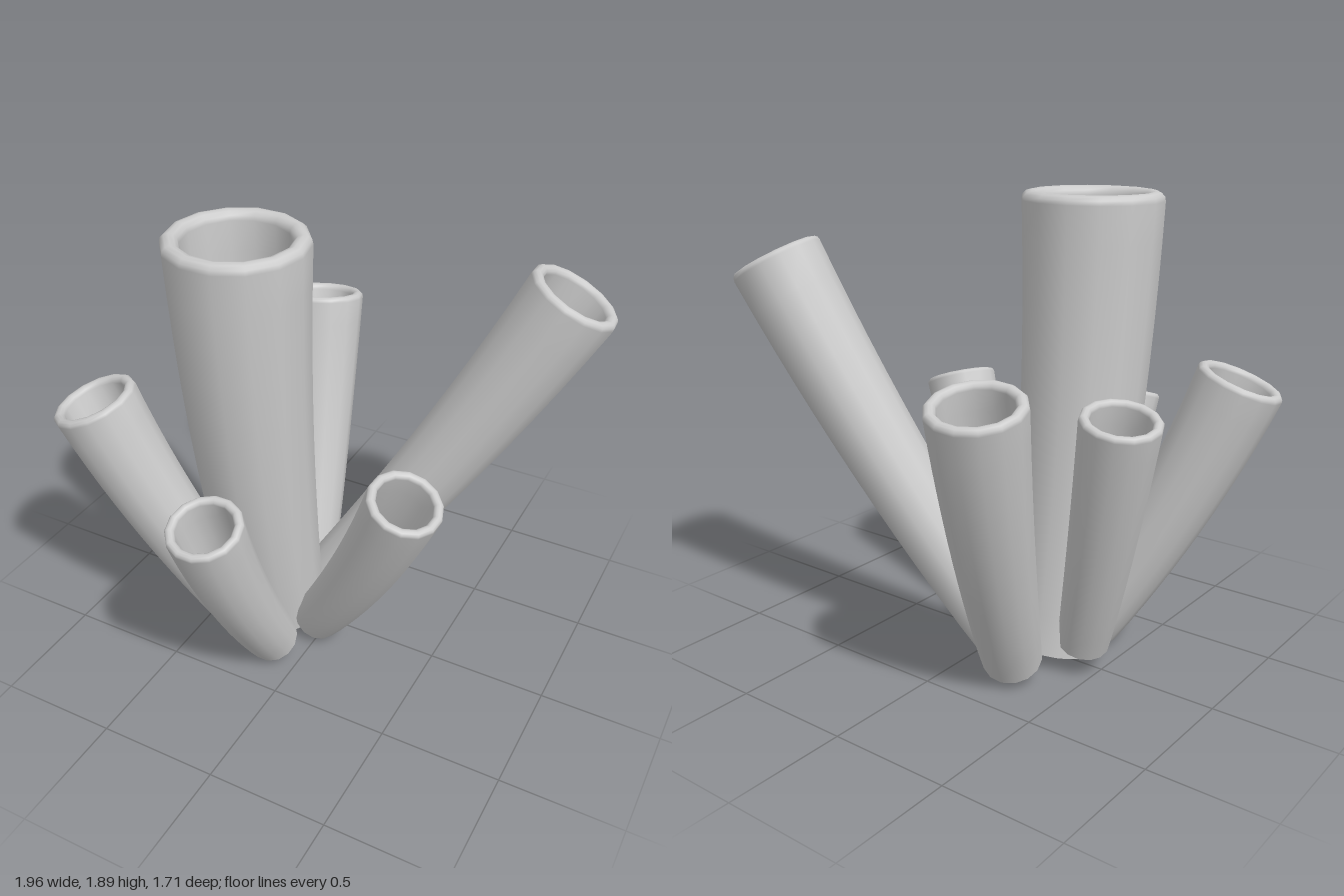
import * as THREE from 'three';

const SIDES = 14;

// Hollow tube swept along a gently bending path: outer wall, rounded rim, inner wall
function hollowTube(base, top, r0, r1, bulge) {
  const a = new THREE.Vector3(...base), b = new THREE.Vector3(...top);
  const out = b.clone().sub(a).setY(0).normalize().multiplyScalar(bulge);
  const curve = new THREE.QuadraticBezierCurve3(a, a.clone().lerp(b, 0.5).add(out), b);
  const length = curve.getLength(), steps = 40;
  const frames = curve.computeFrenetFrames(steps);
  const half = r1 * 0.13;                 // half the wall thickness
  const tRim = 1 - half / length;

  // Each station: position along the path, ring radius
  const stations = [];
  for (let i = 0; i <= 12; i++) {
    const t = tRim * i / 12;
    stations.push([t, r0 + (r1 - r0) * Math.pow(t, 0.85)]);
  }
  for (let i = 1; i <= 6; i++) {
    const q = Math.PI * i / 6;
    stations.push([tRim + half * Math.sin(q) / length, r1 - half + half * Math.cos(q)]);
  }
  for (let i = 1; i <= 4; i++) {
    stations.push([tRim - 0.07 * i, (r1 - 2 * half) * (1 - 0.02 * i)]);
  }

  const positions = [], index = [];
  stations.forEach(([t, r], i) => {
    const c = curve.getPointAt(Math.min(t, 1));
    const k = Math.min(steps, Math.round(t * steps));
    const n = frames.normals[k], bn = frames.binormals[k];
    for (let j = 0; j < SIDES; j++) {
      const ang = j / SIDES * Math.PI * 2;
      const p = c.clone().addScaledVector(n, r * Math.cos(ang)).addScaledVector(bn, r * Math.sin(ang));
      positions.push(p.x, p.y, p.z);
      if (i < stations.length - 1) {
        const s = i * SIDES, j2 = (j + 1) % SIDES;
        index.push(s + j, s + j2, s + SIDES + j2, s + j, s + SIDES + j2, s + SIDES + j);
      }
    }
  });
  const geo = new THREE.BufferGeometry();
  geo.setAttribute('position', new THREE.Float32BufferAttribute(positions, 3));
  geo.setIndex(index);
  geo.computeVertexNormals();
  return geo;
}

export function createModel() {
  const group = new THREE.Group();
  group.name = 'tubeCluster';
  const material = new THREE.MeshStandardMaterial({ color: 0xcccccc, side: THREE.DoubleSide });

  // name, base centre, top centre, base radius, top radius, outward bend
  const tubes = [
    ['mainTube', [-0.25, 0.03, 0.03], [-0.28, 1.88, 0.2], 0.205, 0.28, 0.08],
    ['longLeftTube', [-0.12, 0.065, -0.13], [0.81, 1.61, -0.455], 0.125, 0.193, 0.08],
    ['frontLeftTube', [-0.02, 0.07, 0.08], [0.475, 1.02, 0.305], 0.108, 0.152, 0.07],
    ['frontTube', [-0.13, 0.07, 0.29], [-0.145, 0.965, 0.72], 0.11, 0.152, 0.07],
    ['frontRightTube', [-0.32, 0.07, 0.2], [-0.83, 1.17, 0.445], 0.12, 0.178, 0.07],
    ['backRightTube', [-0.43, 0.11, -0.03], [-0.69, 1.14, -0.215], 0.105, 0.155, 0.03],
    ['backTube', [-0.25, 0.075, -0.27], [-0.405, 1.25, -0.685], 0.12, 0.185, 0.07],
  ];
  for (const [name, ...spec] of tubes) {
    const mesh = new THREE.Mesh(hollowTube(...spec), material);
    mesh.name = name;
    group.add(mesh);
  }
  return group;
}
